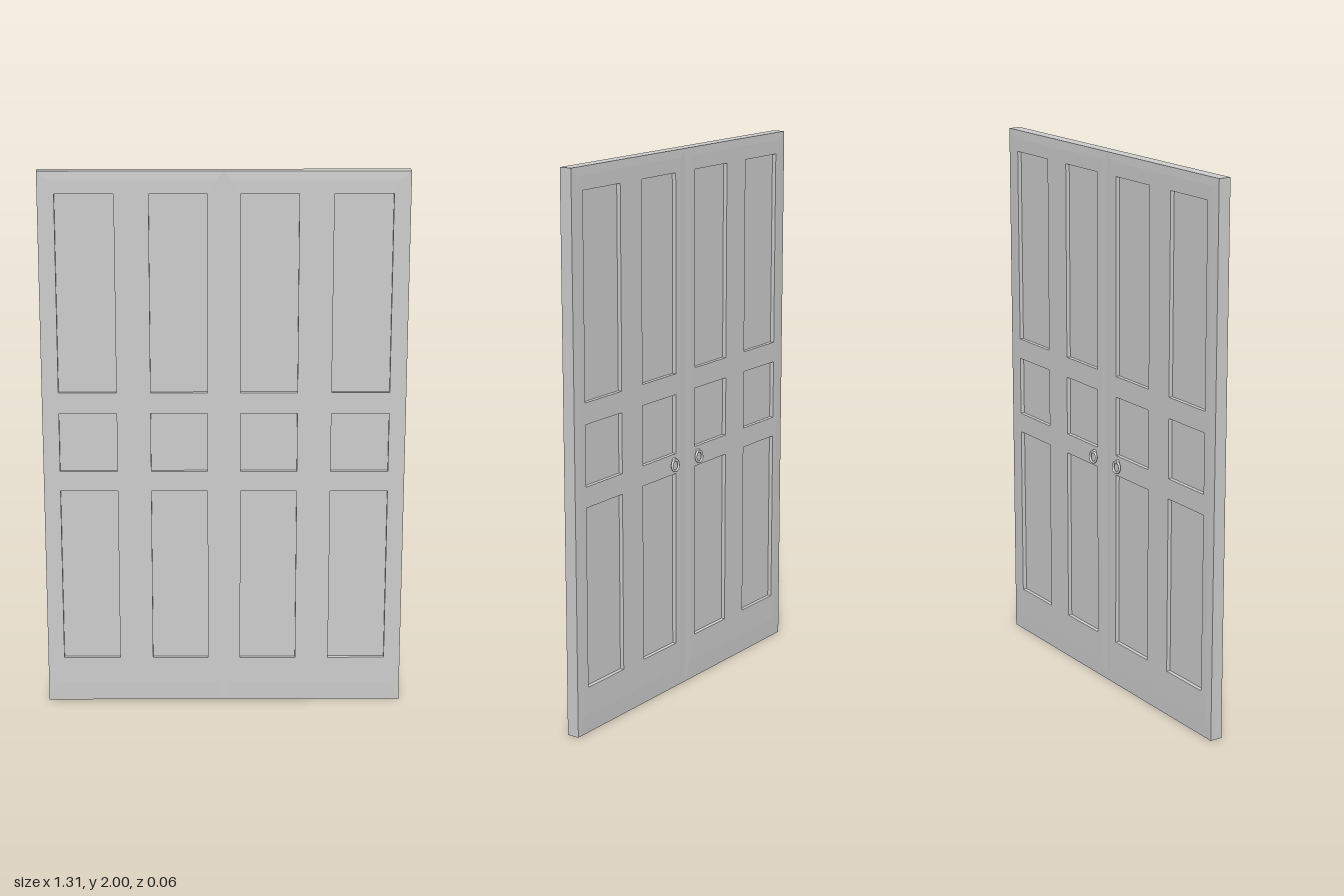
import * as THREE from 'three';

const material = new THREE.MeshStandardMaterial({ color: 0xcccccc, side: THREE.DoubleSide });
const FRONT = 0.031, BACK = -0.018, BEVEL = 0.0015, RECESS = 0.015;
const COLUMNS = [[0.06, 0.265], [0.388, 0.597]];
const ROWS = [[0.17, 0.825], [0.9, 1.12], [1.197, 1.92]];

function part(name, geometry, parent) {
  const mesh = new THREE.Mesh(geometry, material);
  mesh.name = name;
  parent.add(mesh);
  return mesh;
}

// Corners of a rectangle, counter-clockwise
const rect = (x0, y0, x1, y1) => [[x0, y0], [x1, y0], [x1, y1], [x0, y1]];
const points = (corners) => corners.map(([x, y]) => new THREE.Vector2(x, y));

// Slightly sloping border, lofted front to back through four rectangular loops
function rimGeometry(inner, outer) {
  const loops = [[inner, FRONT], [outer, FRONT - BEVEL], [outer, BACK + BEVEL], [inner, BACK]];
  const positions = [];
  for (let k = 0; k < 3; k++) {
    const [a, za] = loops[k], [b, zb] = loops[k + 1];
    for (let i = 0; i < 4; i++) {
      const j = (i + 1) % 4;
      const p = [...a[i], za], q = [...a[j], za], r = [...b[j], zb], s = [...b[i], zb];
      positions.push(...p, ...s, ...r, ...p, ...r, ...q);
    }
  }
  const geometry = new THREE.BufferGeometry();
  geometry.setAttribute('position', new THREE.Float32BufferAttribute(positions, 3));
  geometry.computeVertexNormals();
  return geometry;
}

function doorLeaf(side) {
  const leaf = new THREE.Group();
  leaf.name = side > 0 ? 'leftDoorLeaf' : 'rightDoorLeaf';
  const box = (x0, y0, x1, y1) =>
    side > 0 ? rect(x0, y0, x1, y1) : rect(-x1, y0, -x0, y1);
  const inner = box(0.03, 0.07, 0.622, 1.97);

  // Stiles and rails with panel openings
  const frame = new THREE.Shape(points(inner));
  for (const [x0, x1] of COLUMNS) {
    for (const [y0, y1] of ROWS) {
      frame.holes.push(new THREE.Path(points(box(x0, y0, x1, y1)).reverse()));
      // Recessed panel filling the opening
      const depth = FRONT - BACK - 2 * RECESS;
      const panel = part('panel', new THREE.BoxGeometry(x1 - x0, y1 - y0, depth), leaf);
      panel.position.set(side * (x0 + x1) / 2, (y0 + y1) / 2, (FRONT + BACK) / 2);
    }
  }
  const frameGeometry = new THREE.ExtrudeGeometry(frame, { depth: FRONT - BACK, bevelEnabled: false });
  part('frame', frameGeometry.translate(0, 0, BACK), leaf);
  part('rim', rimGeometry(inner, box(0, 0, 0.657, 2)), leaf);

  // Ring pull on the back, hanging from a small mount
  const handle = new THREE.Group();
  handle.name = 'ringHandle';
  handle.position.set(side * 0.076, 0.86, 0);
  const ring = part('ring', new THREE.TorusGeometry(0.02, 0.0045, 10, 28), handle);
  ring.position.z = -0.027;
  ring.rotation.x = 0.1;
  const mount = part('mount', new THREE.CylinderGeometry(0.007, 0.008, 0.013, 16), handle);
  mount.rotation.x = -Math.PI / 2;
  mount.position.set(0, 0.02, -0.0235);
  leaf.add(handle);
  return leaf;
}

export function createModel() {
  const model = new THREE.Group();
  model.name = 'doubleDoor';
  for (const side of [1, -1]) model.add(doorLeaf(side));
  return model;
}
